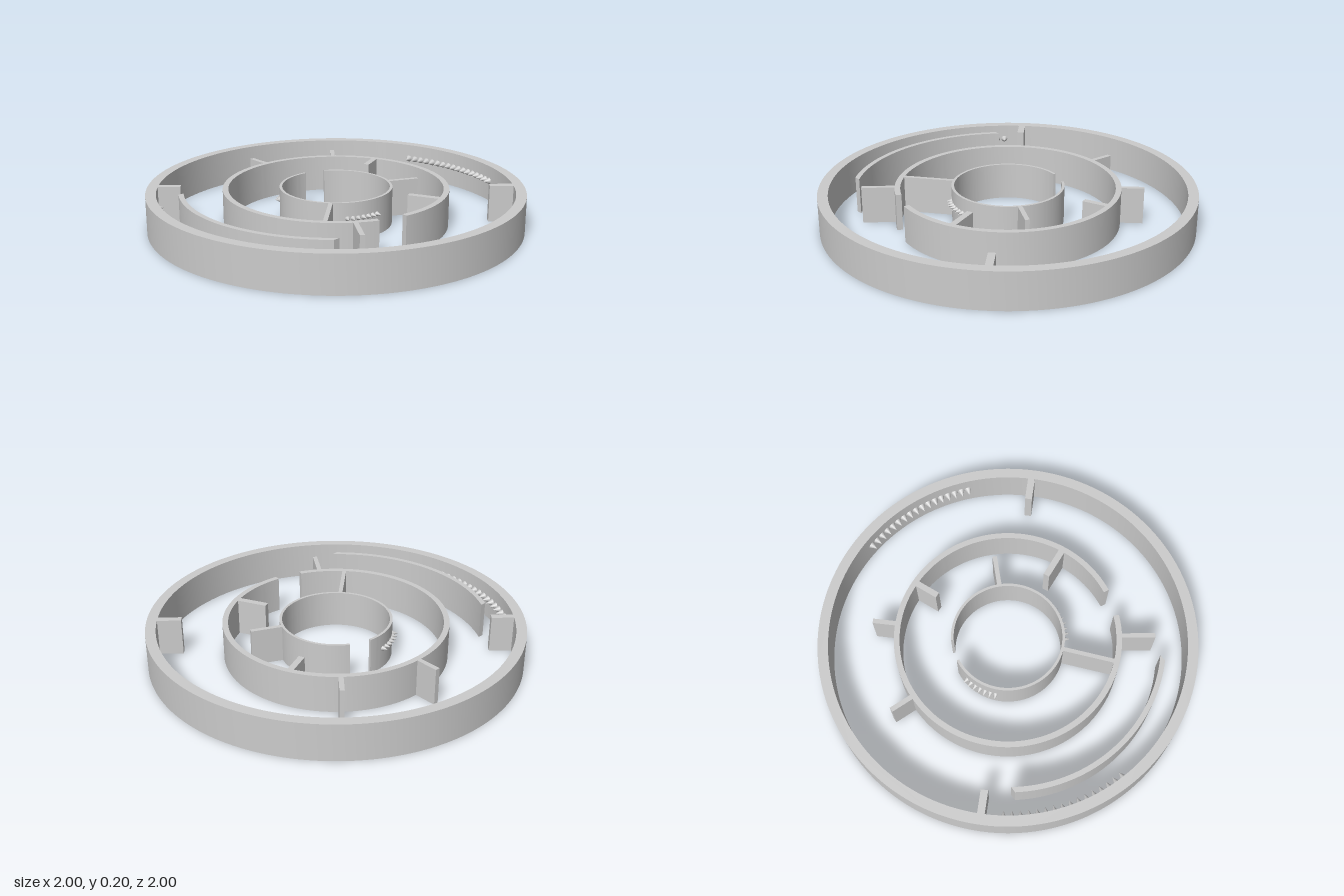
import * as THREE from 'three';
import { toCreasedNormals } from 'three/addons/utils/BufferGeometryUtils.js';

const H = 0.2; // height of every wall
const SPIKE_Y = 0.115;
const rad = THREE.MathUtils.degToRad;
const material = new THREE.MeshStandardMaterial({ color: 0xcccccc });

// Angles are in degrees in plan, from +x towards +z.
function addMesh(parent, name, geometry) {
  const mesh = new THREE.Mesh(geometry, material);
  mesh.name = name;
  parent.add(mesh);
  return mesh;
}

// Raise a plan shape (x, z) into a wall standing on the ground
function wallFromShape(shape) {
  const geo = new THREE.ExtrudeGeometry(shape, { depth: H, bevelEnabled: false, curveSegments: 96 });
  geo.rotateX(Math.PI / 2);
  geo.translate(0, H, 0);
  return toCreasedNormals(geo, 0.5);
}

function fullRing(outer, inner) {
  const shape = new THREE.Shape().absarc(0, 0, outer, 0, Math.PI * 2, false);
  shape.holes.push(new THREE.Path().absarc(0, 0, inner, 0, Math.PI * 2, true));
  return wallFromShape(shape);
}

// Open ring; the inner face may start and end at its own angles
function arcWall(outer, inner, start, end, innerStart = start, innerEnd = end) {
  const shape = new THREE.Shape();
  shape.absarc(0, 0, outer, rad(start), rad(end), false);
  shape.absarc(0, 0, inner, rad(innerEnd), rad(innerStart), true);
  shape.closePath();
  return wallFromShape(shape);
}

// Straight radial wall between two radii
function addBarrier(parent, name, angle, r0, r1, thickness) {
  const geo = new THREE.BoxGeometry(r1 - r0, H, thickness);
  geo.translate((r0 + r1) / 2, H / 2, 0);
  addMesh(parent, name, geo).rotation.y = -rad(angle);
}

// Row of cones around a wall; direction 1 points outward, -1 inward
function addSpikes(parent, name, { count, from, to, radius, size, length, direction }) {
  const row = new THREE.Group();
  row.name = name;
  const geo = new THREE.ConeGeometry(size, length, 16);
  geo.rotateZ(-direction * Math.PI / 2);
  geo.translate(radius + direction * length / 2, SPIKE_Y, 0);
  for (let i = 0; i < count; i++) {
    const angle = from + (to - from) * i / (count - 1);
    addMesh(row, 'spike', geo).rotation.y = -rad(angle);
  }
  parent.add(row);
}

export function createModel() {
  const model = new THREE.Group();
  model.name = 'ringMaze';

  // Ring walls
  addMesh(model, 'outerRing', fullRing(1, 0.945));
  addMesh(model, 'middleRing', arcWall(0.6, 0.57, 26, 371.6));
  addMesh(model, 'innerRing', arcWall(0.3, 0.286, 213, 550.5));

  // Free-standing arc, its ends cut square across x
  addMesh(model, 'frontArc', arcWall(0.83, 0.803, 47, 125.1, 45.2, 126.4));

  // Radial barriers: angle, inner radius, outer radius, thickness
  const barriers = [
    ['outerBarrier', -44.5, 0.818, 0.96, 0.038],
    ['outerBarrier', 135.7, 0.825, 0.96, 0.038],
    ['middleOuterBarrier', 224.4, 0.585, 0.72, 0.025],
    ['middleOuterBarrier', 183.6, 0.585, 0.722, 0.026],
    ['middleOuterBarrier', 37.3, 0.585, 0.775, 0.025],
    ['middleInnerBarrier', 249.2, 0.443, 0.585, 0.032],
    ['middleInnerBarrier', -21.8, 0.405, 0.585, 0.034],
    ['innerBarrier', -61.4, 0.293, 0.465, 0.024],
    ['connectingBarrier', 51.5, 0.293, 0.58, 0.022],
  ];
  for (const barrier of barriers) addBarrier(model, ...barrier);

  // Spikes inside the outer ring and outside the inner ring
  const large = { radius: 0.948, size: 0.02, length: 0.042, direction: -1 };
  const small = { radius: 0.296, size: 0.015, length: 0.034, direction: 1 };
  addSpikes(model, 'backSpikes', { ...large, count: 17, from: -105.4, to: -66.3 });
  addSpikes(model, 'frontSpikes', { ...large, count: 16, from: 89, to: 129 });
  addSpikes(model, 'innerLeftSpikes', { ...small, count: 7, from: 2, to: 35 });
  addSpikes(model, 'innerRightSpikes', { ...small, count: 7, from: 140, to: 173 });

  return model;
}
